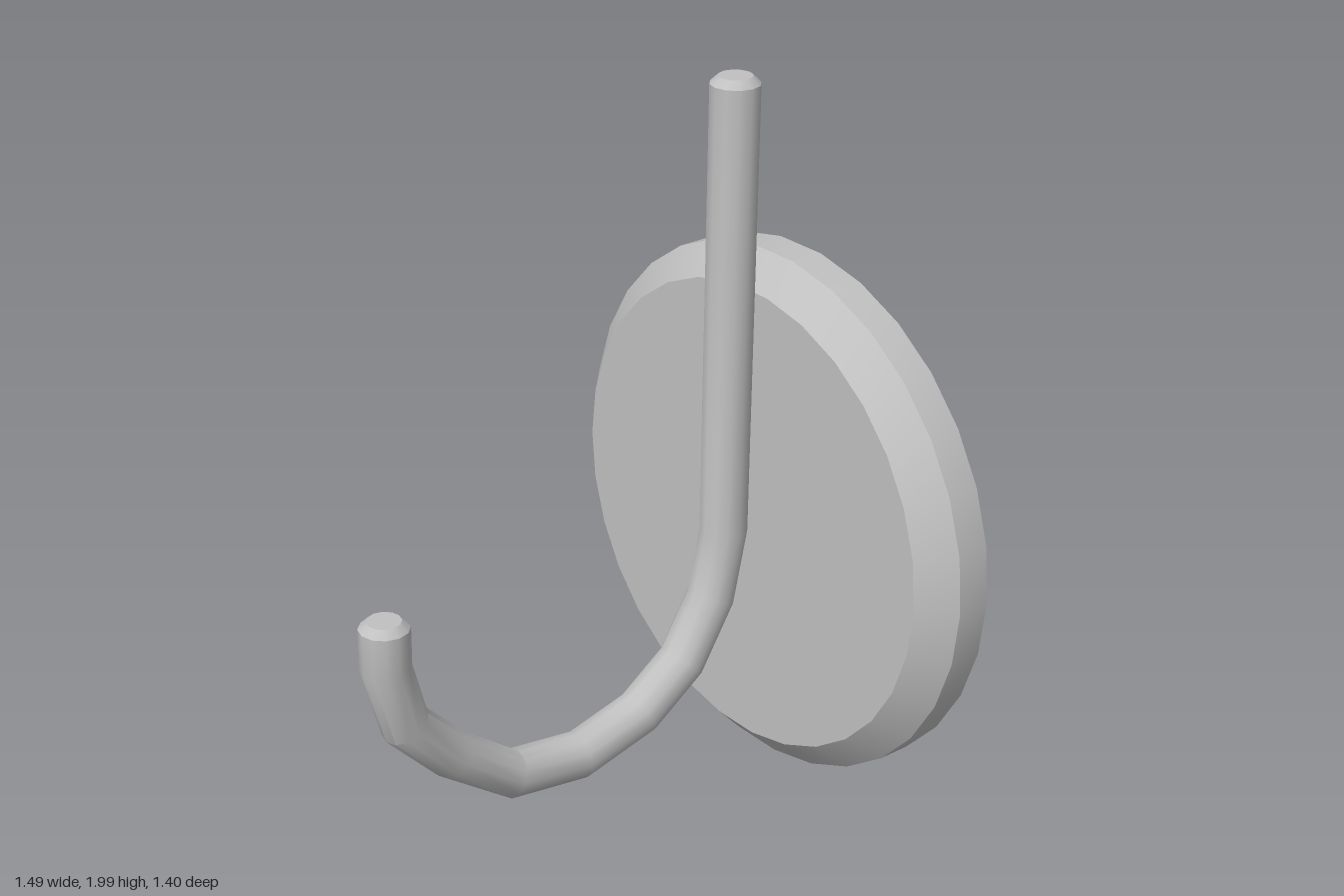
import * as THREE from 'three';
import { toCreasedNormals } from 'three/addons/utils/BufferGeometryUtils.js';

const SIDES = 12;

// Sweep a round section along a path in the x = 0 plane; each station is [z, y, radius]
function sweep(stations) {
  const centres = stations.map(([z, y]) => new THREE.Vector3(0, y, z));
  const across = new THREE.Vector3(1, 0, 0);
  const positions = [];
  const index = [];
  let lastDirection = null;

  const directionFrom = (i) => {
    const d = centres[i + 1] ? centres[i + 1].clone().sub(centres[i]) : new THREE.Vector3();
    return d.length() > 1e-6 ? d.normalize() : null;
  };

  stations.forEach(([, , radius], i) => {
    const next = directionFrom(i) ?? lastDirection ?? directionFrom(i + 1);
    const tangent = next.clone().add(lastDirection ?? next).normalize();
    const normal = tangent.clone().cross(across);
    lastDirection = next;
    for (let j = 0; j < SIDES; j++) {
      const a = (j / SIDES) * Math.PI * 2;
      const p = centres[i].clone()
        .addScaledVector(across, radius * Math.cos(a))
        .addScaledVector(normal, radius * Math.sin(a));
      positions.push(p.x, p.y, p.z);
    }
  });

  for (let i = 0; i < stations.length - 1; i++) {
    for (let j = 0; j < SIDES; j++) {
      const k = (j + 1) % SIDES;
      const a = i * SIDES + j, b = i * SIDES + k;
      const c = b + SIDES, d = a + SIDES;
      if (stations[i][2] > 0) index.push(a, b, c);
      if (stations[i + 1][2] > 0) index.push(a, c, d);
      // Close the fan where the section shrinks to a point
      if (stations[i][2] > 0 && stations[i + 1][2] === 0) continue;
    }
  }

  const geometry = new THREE.BufferGeometry();
  geometry.setAttribute('position', new THREE.Float32BufferAttribute(positions, 3));
  geometry.setIndex(index);
  return toCreasedNormals(geometry, 0.65);
}

export function createModel() {
  const model = new THREE.Group();
  model.name = 'wallHook';

  const metal = new THREE.MeshStandardMaterial({ color: 0xc0c0c0 });
  metal.name = 'greyMetal';

  // Round backplate with a chamfered front rim
  const profile = [[0, -0.7], [0.747, -0.7], [0.747, -0.605], [0.662, -0.525], [0, -0.525]]
    .map(([r, z]) => new THREE.Vector2(r, z));
  const plate = new THREE.LatheGeometry(profile, 30, Math.PI / 2);
  plate.rotateX(Math.PI / 2);
  const backplate = new THREE.Mesh(toCreasedNormals(plate, 0.5), metal);
  backplate.name = 'backplate';
  backplate.position.y = 0.75;
  model.add(backplate);

  // J-shaped rod with chamfered ends
  const R = 0.066, TIP = 0.045;
  const bend = [
    [-0.42, 0.54], [-0.32, 0.37], [-0.17, 0.26], [0.035, 0.205],
    [0.26, 0.235], [0.445, 0.37], [0.585, 0.515],
  ].map(([z, y]) => [z, y, R]);
  const rod = new THREE.Mesh(sweep([
    [-0.459, 2, 0], [-0.459, 2, TIP], [-0.459, 1.98, R], [-0.459, 0.73, R],
    ...bend,
    [0.634, 0.695, R], [0.634, 0.81, R], [0.634, 0.83, TIP], [0.634, 0.83, 0],
  ]), metal);
  rod.name = 'hookRod';
  model.add(rod);

  return model;
}
